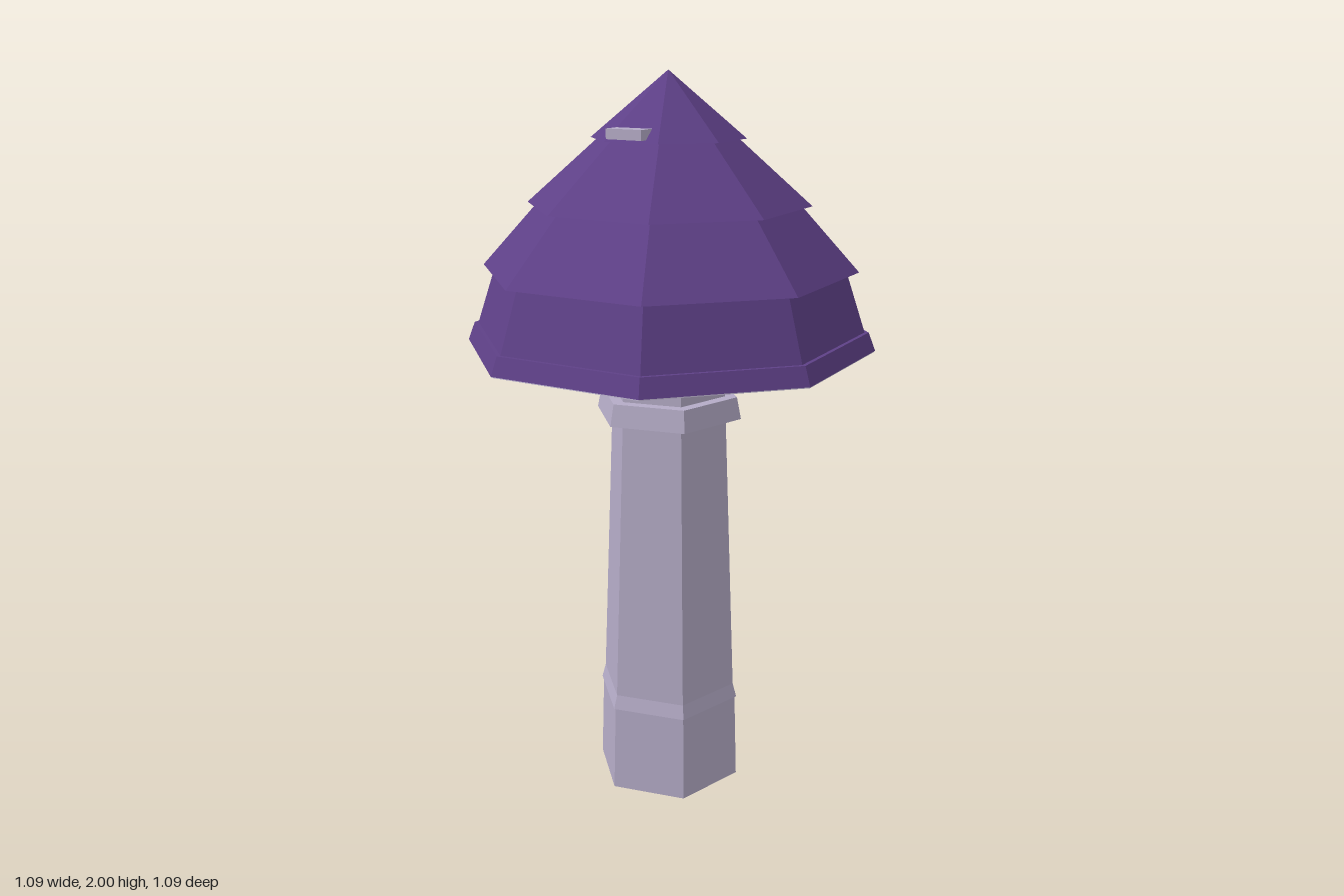
import * as THREE from 'three';

export function createModel() {
  const model = new THREE.Group();
  const material = (name, color) => {
    const m = new THREE.MeshStandardMaterial({ color, flatShading: true });
    m.name = name;
    return m;
  };
  const purple = material('purple roof', 0x5e4087);
  const stone = material('pale lilac stone', 0xb4abc6);

  // One tapered prism between two heights
  function prism(name, mat, sides, turn, y0, r0, y1, r1) {
    const geo = new THREE.CylinderGeometry(r1, r0, y1 - y0, sides, 1, false, turn);
    const mesh = new THREE.Mesh(geo, mat);
    mesh.name = name;
    mesh.position.y = (y0 + y1) / 2;
    model.add(mesh);
  }

  // Six-sided stem: base, step, shaft and collar
  const stem = (name, ...size) => prism(name, stone, 6, Math.PI / 6, ...size);
  stem('stemBase', 0, 0.21, 0.25, 0.202);
  stem('stemStep', 0.25, 0.207, 0.29, 0.196);
  stem('stemShaft', 0.29, 0.196, 1.27, 0.157);
  stem('stemCollar', 1.09, 0.195 + 0.012, 1.15, 0.195);

  // Eight-sided roof, from the underside up to the peak
  const TURN = 0.19;
  const roof = (name, mat, ...size) => prism(name, mat, 8, TURN, ...size);
  roof('undersidePlate', stone, 1.26, 0.436, 1.282, 0.436);
  roof('undersideRim', stone, 1.278, 0.553, 1.282, 0.552);
  roof('roofRim', purple, 1.281, 0.555, 1.33, 0.536);
  roof('roofWall', purple, 1.33, 0.525, 1.5, 0.468);
  roof('lowerTier', purple, 1.49, 0.504, 1.665, 0.345);
  roof('middleTier', purple, 1.66, 0.377, 1.835, 0.178);
  roof('peak', purple, 1.83, 0.204, 2, 0);

  // Two flat stone ledges set into the upper tiers
  for (const [name, x, y, z, turn] of [
    ['frontLedge', -0.045, 1.851, 0.157, -0.23],
    ['backLedge', 0.06, 1.805, -0.207, -0.27],
  ]) {
    const ledge = new THREE.Mesh(new THREE.BoxGeometry(0.104, 0.026, 0.075), stone);
    ledge.name = name;
    ledge.position.set(x, y, z);
    ledge.rotation.y = turn;
    model.add(ledge);
  }

  return model;
}
